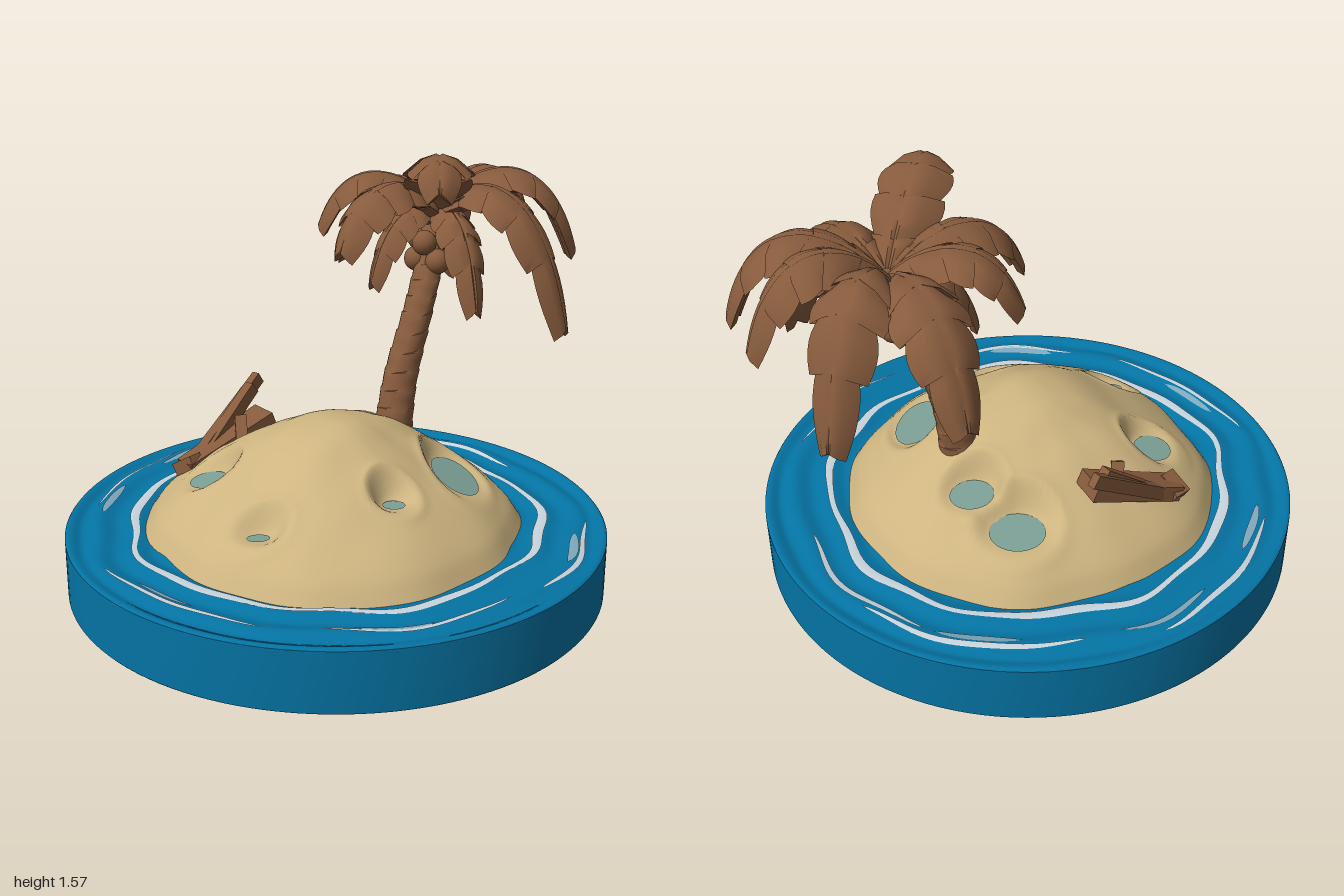
import * as THREE from 'three';
import { toCreasedNormals } from 'three/addons/utils/BufferGeometryUtils.js';

const V = (x, y, z) => new THREE.Vector3(x, y, z);
const rad = THREE.MathUtils.degToRad;
const mat = (name, color) => {
  const m = new THREE.MeshStandardMaterial({ color });
  m.name = name;
  return m;
};

// Skin a list of cross-sections; repeated sections make a hard edge
function loft(rows, closed = true) {
  const n = rows[0].length, pos = [], idx = [];
  rows.forEach(row => row.forEach(p => pos.push(p.x, p.y, p.z)));
  for (let i = 0; i < rows.length - 1; i++) {
    for (let j = 0; j < (closed ? n : n - 1); j++) {
      const k = (j + 1) % n;
      const a = i * n + j, b = i * n + k, c = a + n, d = b + n;
      idx.push(a, c, b, b, c, d);
    }
  }
  const g = new THREE.BufferGeometry();
  g.setAttribute('position', new THREE.Float32BufferAttribute(pos, 3));
  g.setIndex(idx);
  g.computeVertexNormals();
  return g;
}

// One ring of points around the y axis
function ring(n, fn) {
  return Array.from({ length: n }, (_, j) => fn((j / n) * Math.PI * 2));
}

// Smooth curve through [input, output] points
function interpolate(points, s) {
  const i = Math.max(1, points.findIndex(p => p[0] >= s - 1e-9));
  const P = k => points[Math.min(points.length - 1, Math.max(0, k))];
  const slope = k => (k <= 0 ? 0 : (P(k + 1)[1] - P(k - 1)[1]) / (P(k + 1)[0] - P(k - 1)[0]));
  const [a, b] = [P(i - 1), P(i)];
  const w = b[0] - a[0], f = (s - a[0]) / w, f2 = f * f, f3 = f2 * f;
  return (2 * f3 - 3 * f2 + 1) * a[1] + (f3 - 2 * f2 + f) * w * slope(i - 1)
    + (3 * f2 - 2 * f3) * b[1] + (f3 - f2) * w * slope(i);
}

// Rippling sea level
function wobble(t) {
  return 0.011 * Math.sin(5 * t + 0.6) + 0.009 * Math.sin(9 * t + 2) + 0.006 * Math.sin(14 * t);
}
function waterY(r, t) {
  const fade = THREE.MathUtils.smoothstep(0.99 - r, 0, 0.05);
  return 0.228 + fade * (-0.008 + 0.007 * Math.cos((r - wobble(t) - 0.76) * 48));
}

// Shoreline radius every 30 degrees, and dune profile
const shoreRadii = [0.69, 0.68, 0.695, 0.725, 0.72, 0.695, 0.71, 0.71, 0.685, 0.71, 0.7, 0.69, 0.69];
const shorePoints = shoreRadii.map((r, i) => [i / 12, r]);
const shore = t => interpolate(shorePoints, t / (Math.PI * 2)) + 0.005 * Math.sin(11 * t);
const profile = [[0, 0.62], [0.14, 0.612], [0.29, 0.578], [0.57, 0.468], [0.8, 0.36], [0.93, 0.285], [1, 0.215]];

// Hollows: x, z, hollow radii, pool radii, pool level, outward slope
const hollows = [
  [-0.47, -0.01, 0.11, 0.1, 0.07, 0.075, 0.385, 0.15],
  [-0.32, 0.43, 0.1, 0.085, 0.04, 0.03, 0.345, 0],
  [0.155, 0.37, 0.085, 0.085, 0.04, 0.038, 0.415, 0],
  [0.43, 0.09, 0.11, 0.18, 0.085, 0.15, 0.395, 0.36],
  [0.01, -0.49, 0.14, 0.12, 0.1, 0.085, 0.365, 0.15],
  [0.18, -0.36, 0.11, 0.1, 0.08, 0.07, 0.42, 0.15],
];
function poolY([cx, cz, , , , , level, slope], x, z) {
  return level - slope * ((x - cx) * cx + (z - cz) * cz) / Math.hypot(cx, cz);
}
function duneY(x, z, s) {
  const edge = 1 - s * s;
  let y = interpolate(profile, s)
    + edge * (0.01 * Math.sin(9 * x + 2) * Math.sin(8 * z) + 0.006 * Math.sin(21 * x + 5 * z) * Math.sin(17 * z));
  for (const h of hollows) {
    const [cx, cz, rx, rz, px, pz] = h;
    const d = Math.hypot((x - cx) / rx, (z - cz) / rz);
    if (d > 2) continue;
    const k = THREE.MathUtils.smoothstep(d, 0.95 * Math.max(px / rx, pz / rz), 1.2);
    y = THREE.MathUtils.lerp(poolY(h, x, z) - 0.003, y, k) + 0.006 * Math.exp(-(((d - 1.2) / 0.18) ** 2));
  }
  return y;
}

// Thick palm leaf with lobed edges, arching from root to tip
function frondGeometry(root, tip, rise, bend, width) {
  const curve = new THREE.CubicBezierCurve3(root, root.clone().lerp(tip, 0.33).setY(rise),
    root.clone().lerp(tip, 0.8).setY(bend), tip);
  const side = V(tip.x - root.x, 0, tip.z - root.z).normalize().cross(V(0, 1, 0));
  const rows = [], lobes = 5, steps = 6;
  for (let l = 0; l < lobes; l++) {
    for (let q = 0; q <= steps; q++) {
      const f = q / steps;
      const t = Math.min(1, (l + f * 0.97) / lobes);
      const c = curve.getPoint(t), T = curve.getTangent(t);
      const N = side.clone().cross(T).normalize();
      const env = Math.pow(Math.sin(Math.PI * (0.09 + 0.86 * t)), 0.6);
      const w = width * env * (0.74 + 0.34 * Math.sin(f * 2.2));
      const th = 0.034 * (1 - 0.5 * t);
      const at = (u, n) => c.clone().addScaledVector(side, u * w).addScaledVector(N, n)
        .addScaledVector(T, Math.abs(u) * 0.035 * f);
      const droop = -0.38 * w;
      rows.push([at(1, droop), at(0.55, th * 0.75 + droop * 0.3), at(0.12, th), at(0, th * 0.75), at(-0.12, th),
        at(-0.55, th * 0.75 + droop * 0.3), at(-1, droop), at(-0.5, droop * 0.6 - th), at(0, -th), at(0.5, droop * 0.6 - th)]);
    }
  }
  rows.unshift(rows[0].map(() => root.clone()));
  rows.push(rows[0].map(() => tip.clone()));
  return toCreasedNormals(loft(rows), 1.0);
}

export function createModel() {
  const model = new THREE.Group();
  const sea = mat('sea blue', 0x0474a4), sand = mat('sand', 0xcdb480), wood = mat('brown', 0x875b3d);
  const pool = mat('pool green', 0x7ca096), foam = mat('foam white', 0xc9d6de), pale = mat('pale foam', 0x7fa9bc);
  [foam, pale].forEach(m => { m.side = THREE.DoubleSide; });
  const add = (name, geometry, material, parent = model) => {
    const mesh = new THREE.Mesh(geometry, material);
    mesh.name = name;
    parent.add(mesh);
    return mesh;
  };

  // Sea disc with a rippled top
  const flat = (r, y) => ring(128, t => V(r * Math.cos(t), y, r * Math.sin(t)));
  const seaRows = [flat(0, 0), flat(0.995, 0), flat(0.995, 0), flat(1, 0.006), flat(1, 0.222), flat(1, 0.222)];
  for (let i = 0; i <= 36; i++) {
    const r = 0.995 - i * 0.01;
    seaRows.push(ring(128, t => V(r * Math.cos(t), waterY(r, t), r * Math.sin(t))));
  }
  add('sea', loft(seaRows), sea);

  // Sand island
  const sandRows = [];
  for (let i = 0; i <= 70; i++) {
    const s = 1 - i / 70;
    sandRows.push(ring(144, t => {
      const r = s * shore(t), x = r * Math.cos(t), z = r * Math.sin(t);
      return V(x, duneY(x, z, s), z);
    }));
  }
  add('island', loft(sandRows), sand);

  // Pools lying in the hollows
  for (const h of hollows) {
    const g = new THREE.CircleGeometry(1, 32).rotateX(-Math.PI / 2).scale(h[4], 1, h[5]).translate(h[0], 0, h[1]);
    const p = g.attributes.position;
    for (let i = 0; i < p.count; i++) p.setY(i, poolY(h, p.getX(i), p.getZ(i)) + 0.004);
    g.computeVertexNormals();
    add('pool', g, pool);
  }

  // Foam lines: radius, start, end, width, material
  const foamLines = [
    [0.758, 0, 360, 0.034, foam],
    [0.915, 192, 238, 0.02, foam], [0.89, 112, 158, 0.02, foam], [0.885, 56, 100, 0.022, foam],
    [0.92, 10, 48, 0.02, foam], [0.9, 254, 306, 0.024, foam], [0.87, 290, 334, 0.024, foam],
    [0.865, 76, 94, 0.036, pale], [0.89, 18, 34, 0.036, pale], [0.88, 188, 206, 0.032, pale],
    [0.875, 222, 246, 0.026, pale], [0.868, 268, 288, 0.03, pale], [0.86, 130, 148, 0.026, pale],
  ];
  for (const [r0, a, b, w, m] of foamLines) {
    const n = Math.ceil((b - a) / 2), whole = b - a === 360;
    const edge = sgn => Array.from({ length: n + 1 }, (_, j) => {
      const t = rad(a + ((b - a) * j) / n);
      const taper = whole ? 0.9 + 0.25 * Math.sin(6 * t) : Math.sqrt(Math.sin((Math.PI * j) / n) + 1e-6);
      const r = r0 + wobble(t) + (sgn * w * taper) / 2;
      return V(r * Math.cos(t), waterY(r, t) + 0.004, r * Math.sin(t));
    });
    add('foamLine', loft([edge(1), edge(0), edge(-1)], false), m);
  }

  // Palm trunk with overlapping bark rings
  const palm = new THREE.Group();
  palm.name = 'palm';
  model.add(palm);
  const spine = new THREE.CatmullRomCurve3([V(0.235, 0.46, -0.16), V(0.27, 0.7, -0.185), V(0.34, 0.95, -0.225), V(0.4, 1.15, -0.3), V(0.43, 1.29, -0.37)]);
  const bark = [], segments = 14;
  for (let i = 0; i < segments; i++) {
    for (const f of [0, 0.5, 0.93]) {
      const t = (i + f) / segments, c = spine.getPoint(t);
      const r = 0.08 - 0.034 * Math.sqrt(t) + 0.004 * f;
      bark.push(ring(20, a => V(c.x + r * Math.cos(a), c.y + 0.004 * Math.sin(3 * a + i), c.z + r * Math.sin(a))));
    }
  }
  add('trunk', toCreasedNormals(loft(bark), 0.7), wood, palm);
  add('crown', new THREE.SphereGeometry(0.065, 20, 14), wood, palm).position.set(0.43, 1.28, -0.375);

  // Fronds: tip x, y, z, heights of the inner and outer arch, half width
  const fronds = [
    [0.14, 1.04, -0.81, 1.45, 1.42, 0.125], [0.56, 0.95, -0.82, 1.48, 1.47, 0.125], [0.96, 1.14, -0.34, 1.5, 1.52, 0.125],
    [0.84, 0.91, 0.0, 1.48, 1.45, 0.13], [0.34, 1.45, 0.13, 1.46, 1.68, 0.12], [0.03, 1.21, -0.06, 1.46, 1.47, 0.125],
    [0.0, 1.24, -0.42, 1.46, 1.5, 0.11], [0.84, 1.14, -0.57, 1.5, 1.5, 0.12],
    [0.52, 0.98, -0.06, 1.34, 1.3, 0.085], [0.17, 1.06, -0.22, 1.34, 1.3, 0.08],
  ];
  for (const [x, y, z, rise, bend, w] of fronds) {
    add('frond', frondGeometry(V(0.43, 1.28, -0.375), V(x, y, z), rise, bend, w), wood, palm);
  }

  // Coconuts clustered under the crown
  for (let i = 0; i < 8; i++) {
    const a = (i / 8) * Math.PI * 2;
    add('coconut', new THREE.SphereGeometry(0.047, 16, 12), wood, palm)
      .position.set(0.415 + 0.068 * Math.cos(a), 1.165 + 0.035 * (i % 2 ? 1 : -1), -0.315 + 0.068 * Math.sin(a));
  }

  // Driftwood wreck: planks laid between two points
  const wreck = new THREE.Group();
  wreck.name = 'wreck';
  model.add(wreck);
  const plank = (name, a, b, w, h, taper) => {
    const g = new THREE.BoxGeometry(w, h, a.distanceTo(b));
    const p = g.attributes.position;
    for (let i = 0; i < p.count; i++) if (p.getZ(i) > 0) p.setX(i, p.getX(i) * taper);
    g.computeVertexNormals();
    const m = add(name, g, wood, wreck);
    m.position.copy(a).lerp(b, 0.5);
    m.lookAt(b);
  };
  plank('longPlank', V(-0.54, 0.345, -0.22), V(-0.25, 0.62, -0.5), 0.045, 0.05, 0.7);
  plank('secondPlank', V(-0.5, 0.36, -0.24), V(-0.28, 0.6, -0.44), 0.05, 0.05, 0.8);
  plank('broadBoard', V(-0.55, 0.36, -0.2), V(-0.23, 0.5, -0.38), 0.095, 0.06, 1.3);
  plank('post', V(-0.335, 0.43, -0.18), V(-0.335, 0.52, -0.3), 0.045, 0.045, 1);
  plank('stump', V(-0.57, 0.35, -0.24), V(-0.51, 0.4, -0.18), 0.07, 0.05, 0.8);

  return model;
}
